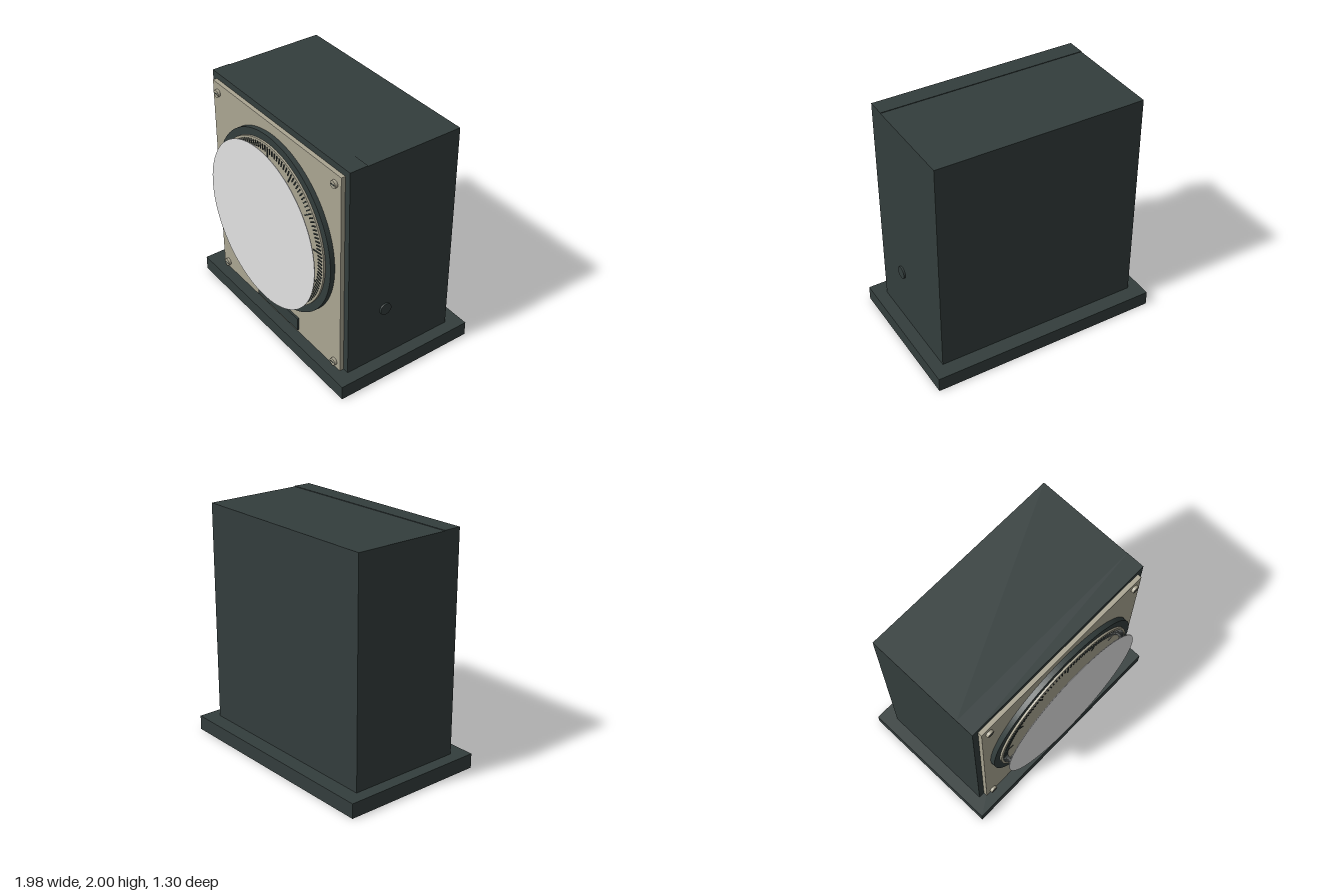
import * as THREE from 'three';

export function createModel() {
  const model = new THREE.Group();
  const mat = (name, color) => {
    const m = new THREE.MeshStandardMaterial({ color });
    m.name = name;
    return m;
  };
  const dark = mat('dark green grey', 0x333d3c);
  const tan = mat('warm tan', 0xaaa592);
  const pale = mat('pale glass', 0xe2e2e2);

  const add = (name, geometry, material, x = 0, y = 0, z = 0, parent = model) => {
    const mesh = new THREE.Mesh(geometry, material);
    mesh.name = name;
    mesh.position.set(x, y, z);
    parent.add(mesh);
    return mesh;
  };
  // Box given by its low and high corners
  const box = (name, material, [x0, y0, z0], [x1, y1, z1]) =>
    add(name, new THREE.BoxGeometry(x1 - x0, y1 - y0, z1 - z0), material,
      (x0 + x1) / 2, (y0 + y1) / 2, (z0 + z1) / 2);
  // Disc facing +z, between two depths
  const disc = (name, material, r, x, y, z0, z1, sides = 96) =>
    add(name, new THREE.CylinderGeometry(r, r, z1 - z0, sides).rotateX(Math.PI / 2),
      material, x, y, (z0 + z1) / 2);

  // Housing
  box('base', dark, [-0.992, 0, -0.65], [0.992, 0.125, 0.605]);
  box('housing', dark, [-0.888, 0.125, -0.52], [0.888, 1.995, 0.32]);
  box('frontFrame', dark, [-0.888, 0.125, 0.32], [0.888, 2, 0.475]);
  box('facePlate', tan, [-0.835, 0.125, 0.475], [0.835, 1.945, 0.51]);
  box('labelPlate', dark, [-0.285, 0.155, 0.51], [0.285, 0.275, 0.526]);

  // Dial surround
  const cy = 1.095;
  const ring = new THREE.Shape().absarc(0, 0, 0.765, 0, Math.PI * 2);
  ring.holes.push(new THREE.Path().absarc(0, 0, 0.69, 0, Math.PI * 2, true));
  add('dialRing', new THREE.ExtrudeGeometry(ring,
    { depth: 0.04, bevelEnabled: false, curveSegments: 96 }), dark, 0, cy, 0.51);
  disc('dialFace', tan, 0.703, 0, cy, 0.51, 0.566);

  // Scale marks over a 270 degree sweep, every tenth one longer
  const scale = new THREE.Group();
  scale.name = 'scaleMarks';
  scale.position.set(0, cy, 0.568);
  model.add(scale);
  for (let i = 0; i <= 100; i++) {
    const a = THREE.MathUtils.degToRad(225 - i * 2.7);
    const len = i % 10 === 0 ? 0.1 : 0.05;
    const r = 0.685 - len / 2;
    const mark = add('scaleMark', new THREE.BoxGeometry(len, 0.01, 0.006), dark,
      Math.cos(a) * r, Math.sin(a) * r, 0, scale);
    mark.rotation.z = a;
  }

  // Pointer, hub and cover glass
  const pointer = new THREE.Shape();
  pointer.moveTo(-0.06, -0.02);
  pointer.lineTo(0.5, -0.005);
  pointer.lineTo(0.5, 0.005);
  pointer.lineTo(-0.06, 0.02);
  add('pointer', new THREE.ExtrudeGeometry(pointer, { depth: 0.008, bevelEnabled: false }),
    dark, 0, cy, 0.595).rotation.z = THREE.MathUtils.degToRad(219);
  disc('hub', dark, 0.063, 0, cy, 0.598, 0.635, 32);
  disc('coverGlass', pale, 0.703, 0, cy, 0.645, 0.65);

  // Corner screws with slots
  for (const x of [-0.765, 0.765]) {
    for (const y of [0.18, 1.86]) {
      disc('screw', tan, 0.032, x, y, 0.51, 0.533, 24);
      add('screwSlot', new THREE.BoxGeometry(0.042, 0.009, 0.006), dark, x, y, 0.532);
    }
  }

  // Side knob
  add('sideKnob', new THREE.CylinderGeometry(0.052, 0.052, 0.03, 32).rotateZ(Math.PI / 2),
    dark, 0.888, 0.605, 0.123);

  return model;
}
